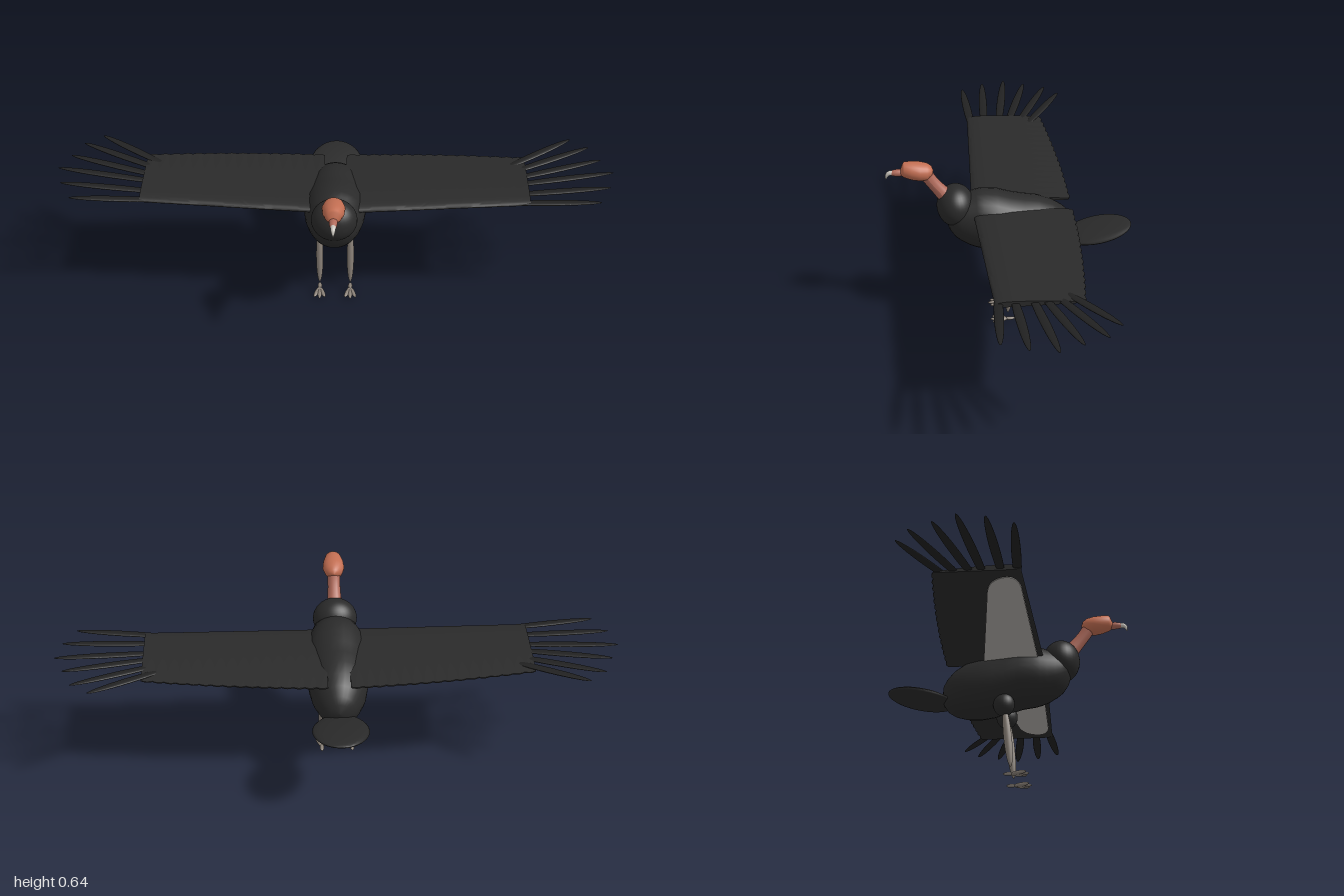
import * as THREE from 'three';
import { toCreasedNormals } from 'three/addons/utils/BufferGeometryUtils.js';

const V = (x, y, z) => new THREE.Vector3(x, y, z);
const mat = (name, color) => {
  const m = new THREE.MeshStandardMaterial({ color });
  m.name = name;
  return m;
};

export function createModel() {
  const black = mat('black plumage', 0x2a2a2a);
  const dark = mat('dark flight feathers', 0x212121);
  const grey = mat('pale wing lining', 0xb0aca8);
  const headRed = mat('orange head skin', 0xc26e52);
  const neckRed = mat('pink neck skin', 0xb06a5a);
  const horn = mat('pale horn', 0xc9c5bd);
  const legGrey = mat('grey leg skin', 0x8a8178);

  const model = new THREE.Group();
  model.name = 'bird';
  const add = (name, geometry, material, parent = model) => {
    const mesh = new THREE.Mesh(geometry, material);
    mesh.name = name;
    parent.add(mesh);
    return mesh;
  };

  // Oval rings [z, top, bottom, halfWidth], listed front to back
  const loft = (rings, seg = 28) => {
    const pos = [], index = [];
    rings.forEach(([z, top, bottom, w], i) => {
      for (let j = 0; j < seg; j++) {
        const a = (j / seg) * Math.PI * 2;
        pos.push(w * Math.cos(a), (top + bottom) / 2 + ((top - bottom) / 2) * Math.sin(a), z);
        if (i === rings.length - 1) continue;
        const p = i * seg + j, q = i * seg + ((j + 1) % seg);
        index.push(p, p + seg, q, q, p + seg, q + seg);
      }
    });
    const g = new THREE.BufferGeometry();
    g.setAttribute('position', new THREE.Float32BufferAttribute(pos, 3));
    g.setIndex(index);
    g.computeVertexNormals();
    return g;
  };

  // Ellipsoid stretched from a to b, with half width and half thickness
  const spindle = (name, a, b, width, thick, material, parent) => {
    const mesh = add(name, new THREE.SphereGeometry(1, 16, 16), material, parent);
    const along = b.clone().sub(a);
    const len = along.length() / 2;
    along.normalize();
    const side = along.clone().cross(Math.abs(along.y) > 0.9 ? V(0, 0, 1) : V(0, 1, 0)).normalize();
    const up = side.clone().cross(along);
    mesh.quaternion.setFromRotationMatrix(new THREE.Matrix4().makeBasis(side, along, up));
    mesh.position.copy(a).add(b).multiplyScalar(0.5);
    mesh.scale.set(width, len, thick);
    return mesh;
  };

  // Tube whose radius follows radius(t)
  const taperedTube = (points, radius, steps = 16, sides = 16) => {
    const curve = new THREE.CatmullRomCurve3(points);
    const g = new THREE.TubeGeometry(curve, steps, 1, sides);
    const p = g.attributes.position;
    for (let k = 0; k < p.count; k++) {
      const t = Math.floor(k / (sides + 1)) / steps;
      const c = curve.getPointAt(t);
      const v = V(0, 0, 0).fromBufferAttribute(p, k).sub(c).multiplyScalar(radius(t)).add(c);
      p.setXYZ(k, v.x, v.y, v.z);
    }
    g.computeVertexNormals();
    return g;
  };

  // Body
  add('body', loft([
    [0.236, 0.44, 0.44, 0], [0.232, 0.465, 0.408, 0.028], [0.22, 0.485, 0.373, 0.052],
    [0.2, 0.497, 0.345, 0.071], [0.18, 0.503, 0.329, 0.081], [0.15, 0.508, 0.312, 0.092],
    [0.125, 0.517, 0.302, 0.1], [0.1, 0.521, 0.296, 0.106], [0.05, 0.516, 0.29, 0.112],
    [0, 0.5, 0.275, 0.112], [-0.05, 0.49, 0.262, 0.111], [-0.1, 0.483, 0.254, 0.107],
    [-0.15, 0.465, 0.256, 0.097], [-0.19, 0.44, 0.266, 0.079], [-0.217, 0.412, 0.283, 0.058],
    [-0.233, 0.386, 0.308, 0.035], [-0.24, 0.35, 0.35, 0],
  ]), black);
  const ruff = add('neckRuff', new THREE.SphereGeometry(1, 32, 24), black);
  ruff.position.set(0, 0.467, 0.197);
  ruff.scale.set(0.081, 0.077, 0.068);

  // Tail
  spindle('tail', V(0, 0.314, -0.195), V(0, 0.362, -0.442), 0.1, 0.016, black);

  // Neck, head, snout and beak
  add('neck', taperedTube(
    [V(0, 0.495, 0.222), V(0, 0.535, 0.256), V(0, 0.57, 0.283), V(0, 0.605, 0.305)],
    (t) => 0.019 + 0.012 * (1 - t) ** 2 + 0.006 * t * t), neckRed);
  add('head', loft([
    [0.392, 0.608, 0.608, 0], [0.388, 0.62, 0.596, 0.015],
    [0.381, 0.638, 0.592, 0.024], [0.376, 0.645, 0.588, 0.029],
    [0.35, 0.645, 0.579, 0.037], [0.32, 0.642, 0.574, 0.04], [0.295, 0.636, 0.576, 0.033],
    [0.279, 0.625, 0.59, 0.019], [0.273, 0.608, 0.608, 0],
  ], 24), headRed);
  spindle('snout', V(0, 0.606, 0.36), V(0, 0.605, 0.43), 0.014, 0.013, neckRed);
  add('beak', taperedTube(
    [V(0, 0.605, 0.416), V(0, 0.605, 0.428), V(0, 0.598, 0.437), V(0, 0.581, 0.442)],
    (t) => 0.0088 * (1 - t ** 2) + 0.0008), horn);

  // Wing airfoil, swept outward with a gentle rise and a ragged trailing edge
  const rise = (x) => 0.443 + 0.037 * (x - 0.06);
  const foil = new THREE.Shape();
  foil.moveTo(0, 0.01);
  foil.quadraticCurveTo(0, 0.026, 0.2, 0.027);
  foil.quadraticCurveTo(0.6, 0.026, 1, 0.009);
  foil.lineTo(1, 0.004);
  foil.lineTo(0.15, 0);
  foil.quadraticCurveTo(0, 0, 0, 0.01);
  const wingGeometry = () => {
    const g = new THREE.ExtrudeGeometry(foil, { depth: 1, steps: 64, bevelEnabled: false, curveSegments: 8 });
    const p = g.attributes.position;
    for (let k = 0; k < p.count; k++) {
      const u = p.getX(k), d = p.getZ(k);
      const lead = 0.138 - 0.026 * d;
      const trail = -0.216 + 0.04 * d * d - 0.006 * Math.abs(Math.sin(d * Math.PI * 16));
      const x = 0.04 + 0.65 * d;
      p.setXYZ(k, x, rise(x) + p.getY(k) * (1 - 0.25 * d), lead + (trail - lead) * u);
    }
    return toCreasedNormals(g, 0.6);
  };

  // Primary feathers: base x, z and tip x, y, z
  const primaries = [
    [0.6, -0.105, 0.866, 0.493, -0.272], [0.6, -0.07, 0.93, 0.493, -0.222],
    [0.6, -0.035, 0.965, 0.494, -0.14], [0.6, -0.005, 1.0, 0.495, -0.06],
    [0.6, 0.05, 0.98, 0.494, 0.03], [0.58, 0.095, 0.937, 0.491, 0.115],
  ];

  // Lining plate outline under the wing (x, z)
  const lining = new THREE.Shape();
  lining.moveTo(0.08, 0.118);
  lining.lineTo(0.58, 0.104);
  lining.quadraticCurveTo(0.66, 0.095, 0.645, 0.045);
  lining.quadraticCurveTo(0.63, 0.0, 0.56, -0.012);
  lining.lineTo(0.08, -0.08);

  for (const s of [1, -1]) {
    const side = new THREE.Group();
    side.name = s > 0 ? 'leftLimbs' : 'rightLimbs';
    side.scale.x = s;
    model.add(side);

    add('wing', wingGeometry(), black, side);
    for (const [bx, bz, tx, ty, tz] of primaries)
      spindle('primaryFeather', V(bx, rise(bx) + 0.007, bz), V(tx, ty, tz), 0.016, 0.005, dark, side);

    const plate = new THREE.ExtrudeGeometry(lining, { depth: 0.005, bevelEnabled: false });
    plate.rotateX(Math.PI / 2);
    const p = plate.attributes.position;
    for (let k = 0; k < p.count; k++) {
      // The plate hugs the wing underside
      p.setY(k, rise(p.getX(k)) + p.getY(k) + 0.002);
    }
    plate.computeVertexNormals();
    add('wingLining', plate, grey, side);

    // Thigh, shank and toes
    const thigh = add('thigh', new THREE.SphereGeometry(1, 24, 16), black, side);
    thigh.position.set(0.056, 0.277, -0.009);
    thigh.scale.set(0.036, 0.043, 0.039);
    spindle('shank', V(0.057, 0.265, -0.006), V(0.057, 0.035, 0.015), 0.013, 0.015, legGrey, side);
    for (const dx of [-0.02, 0, 0.02])
      spindle('frontToe', V(0.057, 0.008, 0.014), V(0.057 + dx, 0.008, 0.08 - Math.abs(dx) * 0.4), 0.008, 0.007, legGrey, side);
    spindle('backToe', V(0.057, 0.008, 0.026), V(0.057, 0.008, -0.012), 0.008, 0.006, legGrey, side);
  }
  return model;
}
